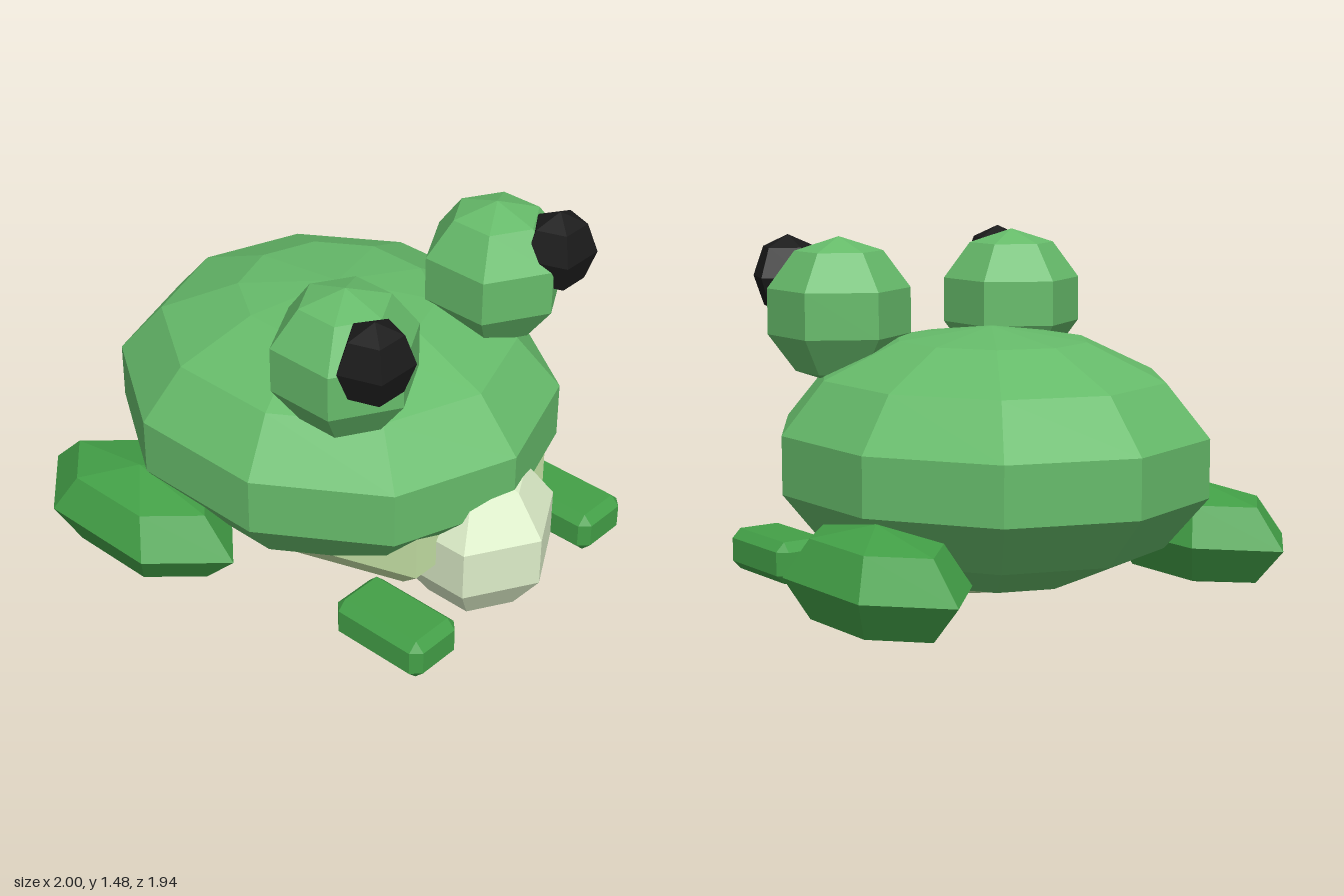
import * as THREE from 'three';
import { ConvexGeometry } from 'three/addons/geometries/ConvexGeometry.js';

const paint = (color) => new THREE.MeshStandardMaterial({ color, flatShading: true });

// Faceted ellipsoid with one column of corners pointing straight back
function ball(name, sides, rings, radii, position, material) {
  const geometry = new THREE.SphereGeometry(1, sides, rings);
  geometry.rotateY(-Math.PI / 2);
  geometry.scale(...radii);
  const mesh = new THREE.Mesh(geometry, material);
  mesh.name = name;
  mesh.position.set(...position);
  return mesh;
}

// Box with every edge and corner cut, from half sizes and cut size
function chamferedBox(half, cut) {
  const points = [];
  for (let axis = 0; axis < 3; axis++) {
    for (const sx of [-1, 1]) for (const sy of [-1, 1]) for (const sz of [-1, 1]) {
      const s = [sx, sy, sz];
      points.push(new THREE.Vector3(...half.map((h, i) => s[i] * (i === axis ? h : h - cut))));
    }
  }
  return new ConvexGeometry(points);
}

export function createModel() {
  const model = new THREE.Group();
  model.name = 'frog';
  const skin = paint(0x66bb6a);
  const limb = paint(0x43a047);
  const bellySkin = paint(0xc5e1a5);
  const throatSkin = paint(0xdcedc8);
  const black = paint(0x1a1a1a);

  // Trunk
  model.add(ball('body', 10, 7, [0.84, 0.508, 0.923], [0, 0.635, -0.07], skin));
  model.add(ball('belly', 5, 5, [0.68, 0.42, 0.637], [0, 0.45, 0.19], bellySkin));
  model.add(ball('throat', 6, 5, [0.325, 0.325, 0.325], [0, 0.33, 0.66], throatSkin));

  // Paired parts
  const footGeometry = chamferedBox([0.125, 0.085, 0.212], 0.037);
  for (const [side, s] of [['left', 1], ['right', -1]]) {
    model.add(ball(side + 'Eye', 6, 5, [0.294, 0.29, 0.294], [s * 0.42, 1.19, 0.36], skin));
    model.add(ball(side + 'Pupil', 5, 4, [0.155, 0.165, 0.142], [s * 0.515, 1.315, 0.585], black));
    model.add(ball(side + 'HindLeg', 6, 4, [0.277, 0.21, 0.505], [s * 0.76, 0.3, -0.41], limb));

    const foot = new THREE.Mesh(footGeometry, limb);
    foot.name = side + 'FrontFoot';
    foot.position.set(s * 0.505, 0.175, 0.692);
    model.add(foot);
  }
  return model;
}
